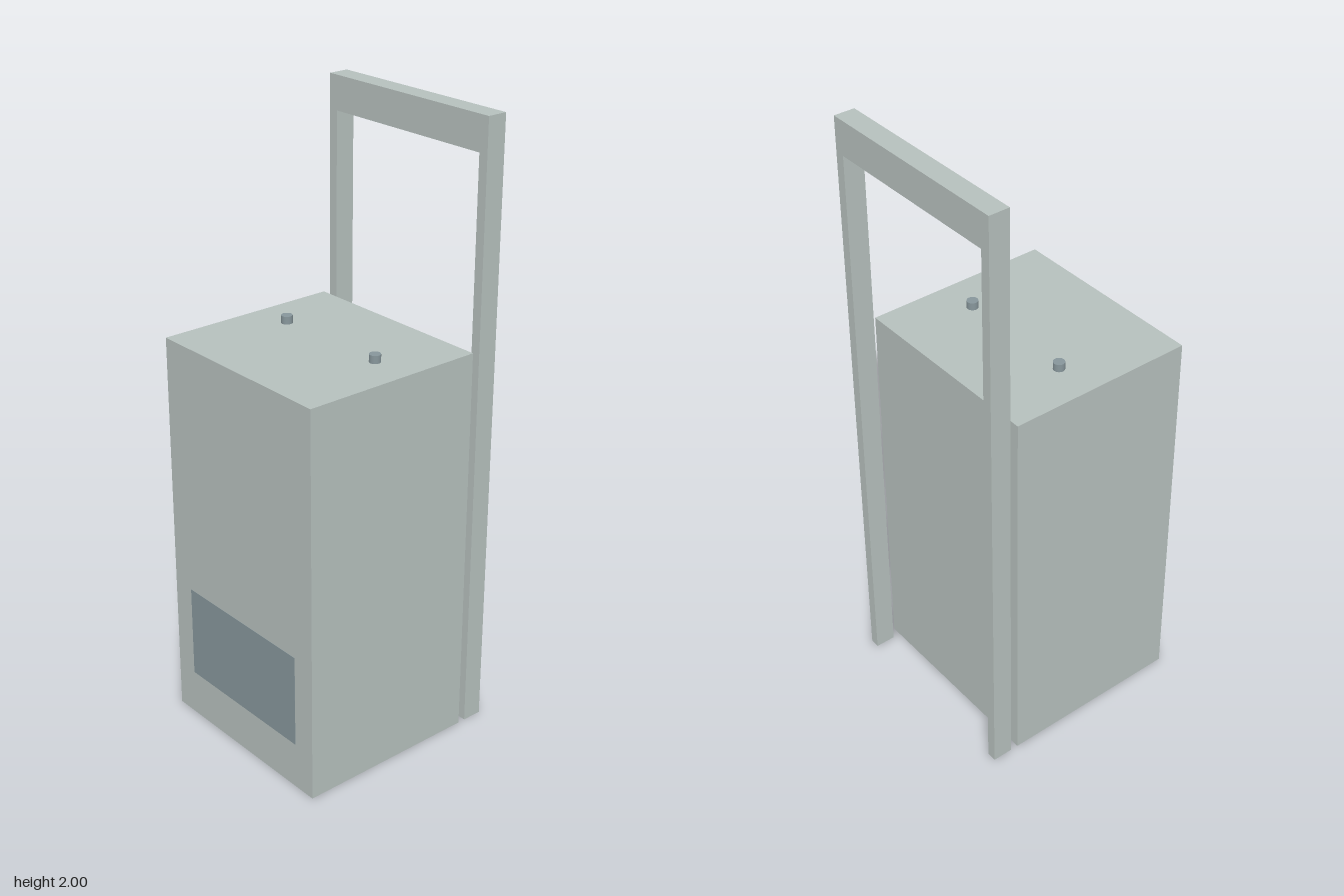
import * as THREE from 'three';

export function createModel() {
  const group = new THREE.Group();
  const bodyGrey = new THREE.MeshStandardMaterial({ name: 'light grey', color: 0xb6c0bd });
  const detailGrey = new THREE.MeshStandardMaterial({ name: 'blue grey', color: 0x87969b });

  const add = (name, geometry, material, x, y, z) => {
    const mesh = new THREE.Mesh(geometry, material);
    mesh.name = name;
    mesh.position.set(x, y, z);
    group.add(mesh);
    return mesh;
  };

  // Main cabinet
  add('cabinet', new THREE.BoxGeometry(0.68, 1.3, 0.617), bodyGrey, 0, 0.65, 0.0465);

  // Thin panel low on the front
  add('frontPanel', new THREE.BoxGeometry(0.52, 0.31, 0.004), detailGrey, 0, 0.31, 0.354);

  // Two small studs on top
  for (const side of [-1, 1]) {
    add(side > 0 ? 'leftStud' : 'rightStud',
      new THREE.CylinderGeometry(0.018, 0.018, 0.025, 24), detailGrey, side * 0.203, 1.3125, 0);
  }

  // Upright frame standing behind: one arch outline, extruded
  const w = 0.34, inner = 0.308, top = 2, barBottom = 1.89, depth = 0.067;
  const arch = new THREE.Shape([
    [-w, 0], [-inner, 0], [-inner, barBottom], [inner, barBottom],
    [inner, 0], [w, 0], [w, top], [-w, top],
  ].map(([x, y]) => new THREE.Vector2(x, y)));
  add('rearFrame', new THREE.ExtrudeGeometry(arch, { depth, bevelEnabled: false }),
    bodyGrey, 0, 0, -0.355);

  return group;
}
